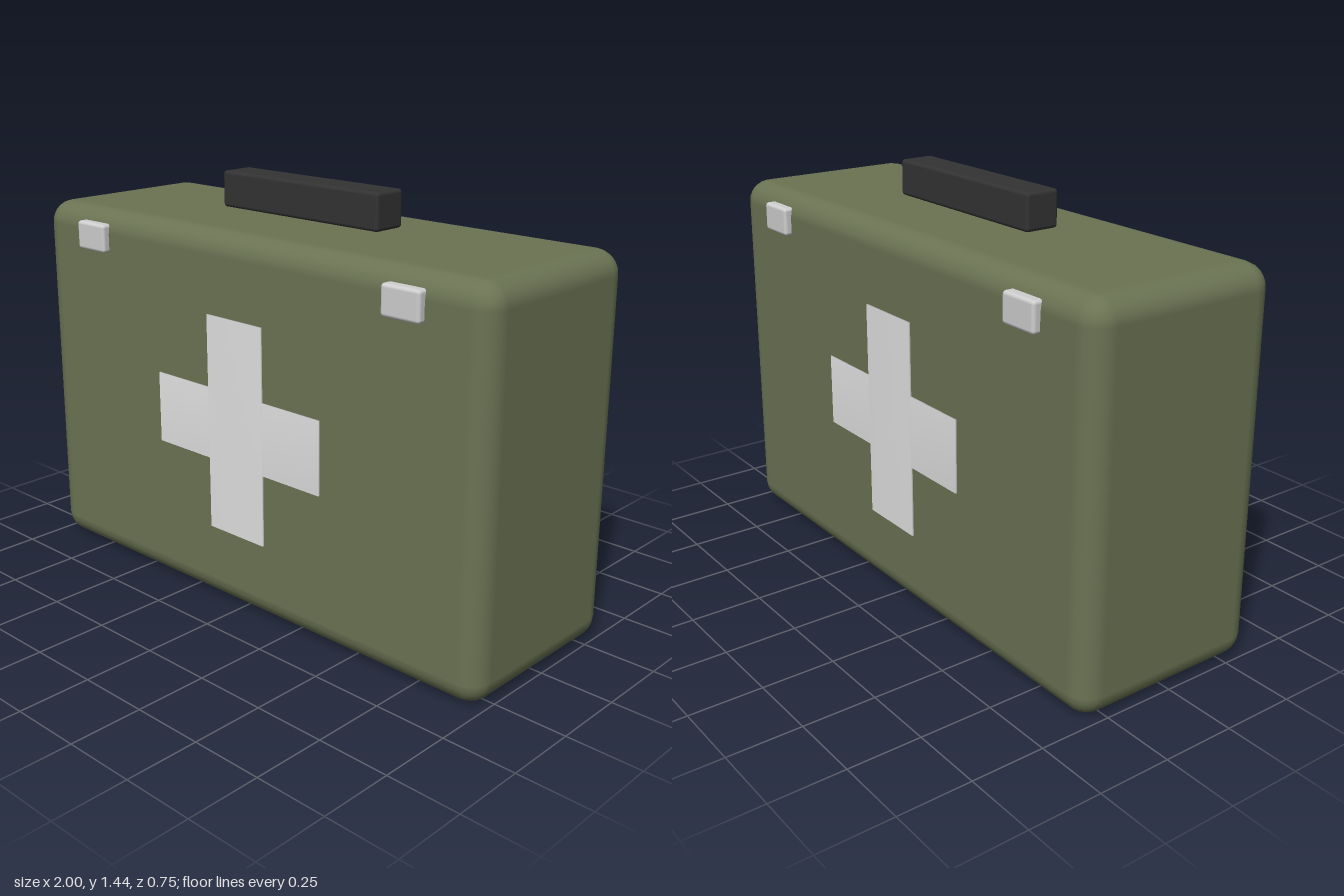
import * as THREE from 'three';
import { mergeVertices } from 'three/addons/utils/BufferGeometryUtils.js';
import { RoundedBoxGeometry } from 'three/addons/geometries/RoundedBoxGeometry.js';

const material = (name, color) => {
  const m = new THREE.MeshStandardMaterial({ color });
  m.name = name;
  return m;
};

// Thin box with shared corner normals, giving a soft pillow-like shading
function softPlate(w, h, d) {
  const box = new THREE.BoxGeometry(w, h, d);
  box.deleteAttribute('normal');
  box.deleteAttribute('uv');
  const geometry = mergeVertices(box);
  geometry.computeVertexNormals();
  return geometry;
}

export function createModel() {
  const olive = material('olive', 0x6b7353);
  const black = material('black', 0x333333);
  const metal = material('light metal', 0xcfcfcf);
  const white = material('white', 0xe2e2e2);

  const group = new THREE.Group();
  group.name = 'firstAidCase';
  const add = (name, geometry, mat, x, y, z) => {
    const mesh = new THREE.Mesh(geometry, mat);
    mesh.name = name;
    mesh.position.set(x, y, z);
    group.add(mesh);
  };

  // Case body and carrying handle
  add('caseBody', new RoundedBoxGeometry(2, 1.3, 0.7, 3, 0.08), olive, 0, 0.65, 0);
  add('handle', new RoundedBoxGeometry(0.7, 0.125, 0.125, 2, 0.012), black, 0, 1.3775, 0);

  // Cross and latches on the front and the back
  const latch = new RoundedBoxGeometry(0.145, 0.1, 0.05, 2, 0.012);
  const upright = softPlate(0.25, 0.75, 0.009);
  const crossbar = softPlate(0.75, 0.25, 0.009);
  for (const [side, s] of [['front', 1], ['back', -1]]) {
    add(side + 'CrossUpright', upright, white, 0, 0.65, s * 0.352);
    add(side + 'CrossBar', crossbar, white, 0, 0.65, s * 0.351);
    add(side + 'LatchLeft', latch, metal, 0.7, 1.205, s * 0.35);
    add(side + 'LatchRight', latch, metal, -0.7, 1.205, s * 0.35);
  }

  return group;
}
